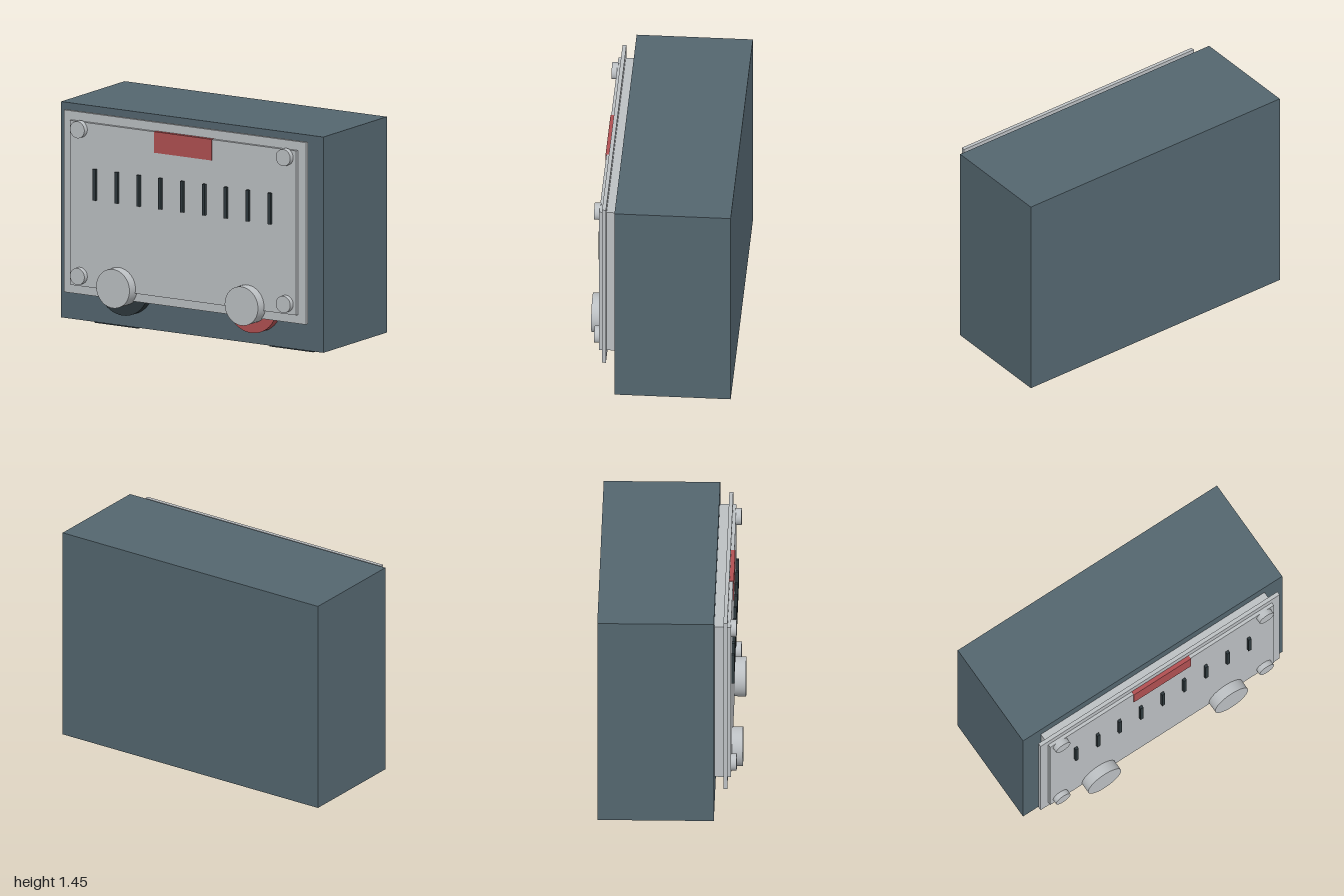
import * as THREE from 'three';

export function createModel() {
  const model = new THREE.Group();
  const material = (name, color) => {
    const m = new THREE.MeshStandardMaterial({ color });
    m.name = name;
    return m;
  };
  const slate = material('slate blue', 0x54666f);
  const silver = material('silver', 0xbcc0c3);
  const red = material('red', 0xb05052);
  const dark = material('charcoal', 0x2e383c);

  const add = (name, geometry, mat, x, y, z) => {
    const mesh = new THREE.Mesh(geometry, mat);
    mesh.name = name;
    mesh.position.set(x, y, z);
    model.add(mesh);
  };
  // Box given by its limits on each axis
  const box = (name, mat, [x0, x1], [y0, y1], [z0, z1]) =>
    add(name, new THREE.BoxGeometry(x1 - x0, y1 - y0, z1 - z0), mat,
      (x0 + x1) / 2, (y0 + y1) / 2, (z0 + z1) / 2);
  // Round part whose axis points forward
  const disc = (name, mat, x, y, r, z0, z1) =>
    add(name, new THREE.CylinderGeometry(r, r, z1 - z0, 48).rotateX(Math.PI / 2), mat,
      x, y, (z0 + z1) / 2);

  // Cabinet and layered front panel
  box('cabinet', slate, [-1, 1], [0.04, 1.45], [-0.46, 0.285]);
  box('panel', silver, [-0.863, 0.863], [0.288, 1.362], [0.285, 0.392]);
  box('panelRim', silver, [-0.922, 0.922], [0.23, 1.42], [0.345, 0.37]);
  box('label', red, [-0.22, 0.22], [1.226, 1.364], [0.365, 0.397]);

  // Row of vertical slots
  for (let i = -4; i <= 4; i++) {
    const x = i / 6;
    box('slot', dark, [x - 0.011, x + 0.011], [0.863, 1.067], [0.385, 0.411]);
  }

  for (const side of [-1, 1]) {
    // Knob over a coloured base disc
    disc('knobBase', side > 0 ? red : dark, side * 0.49, 0.316, 0.195, 0.28, 0.345);
    disc('knob', silver, side * 0.49, 0.317, 0.127, 0.345, 0.462);
    // Corner screws
    for (const y of [0.356, 1.315])
      disc('screw', silver, side * 0.785, y, 0.055, 0.385, 0.427);
    // Feet
    const x = side * 0.667;
    box('foot', dark, [x - 0.167, x + 0.167], [0, 0.042], [-0.205, 0.15]);
  }
  return model;
}
